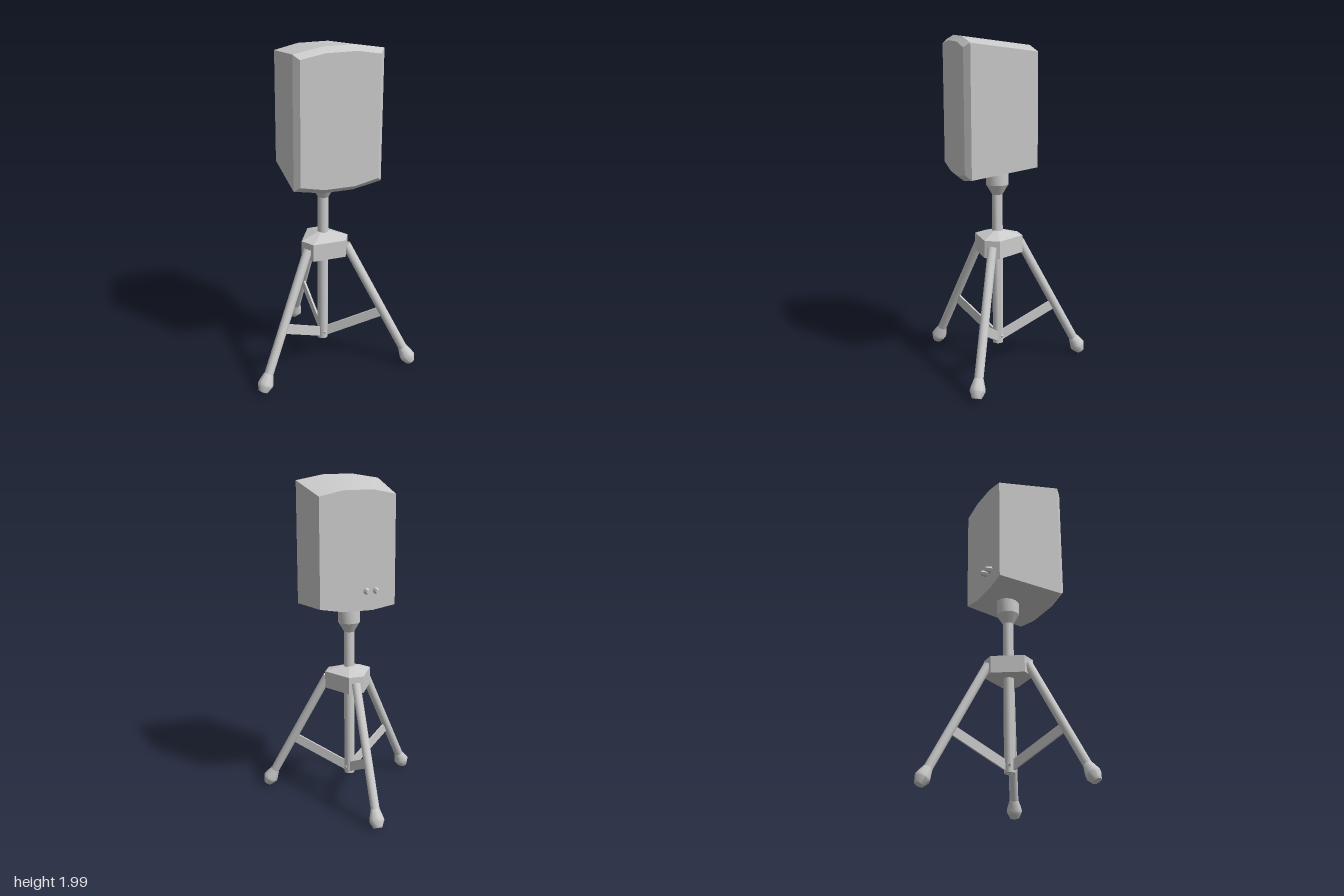
import * as THREE from 'three';
import { toCreasedNormals } from 'three/addons/utils/BufferGeometryUtils.js';

const material = new THREE.MeshStandardMaterial({ color: 0xcccccc });
const POLE_Z = 0.125;

function addMesh(parent, name, geometry) {
  const mesh = new THREE.Mesh(geometry, material);
  mesh.name = name;
  parent.add(mesh);
  return mesh;
}

// Closed solid through rings of equal point count, counter-clockwise seen from the last ring
function loft(rings, crease) {
  const n = rings[0].length, index = [];
  for (let r = 0; r < rings.length - 1; r++) {
    for (let i = 0; i < n; i++) {
      const j = (i + 1) % n;
      const a = r * n + i, b = r * n + j, c = b + n, d = a + n;
      index.push(a, b, c, a, c, d);
    }
  }
  const last = (rings.length - 1) * n;
  for (let i = 1; i < n - 1; i++) {
    index.push(0, i + 1, i, last, last + i, last + i + 1);
  }
  const geometry = new THREE.BufferGeometry();
  geometry.setAttribute('position', new THREE.Float32BufferAttribute(rings.flat(2), 3));
  geometry.setIndex(index);
  return toCreasedNormals(geometry, crease);
}

// Turned part around the y axis from [radius, y] pairs
function turned(profile, sides, crease = 0.9) {
  const points = profile.map(([r, y]) => new THREE.Vector2(r, y));
  return toCreasedNormals(new THREE.LatheGeometry(points, sides), crease);
}

// Cabinet cross-section: straight sides, bowed top and bottom
function cabinetRing(z, half, sideLow, sideHigh, midLow, midHigh) {
  const m = 0.09;
  return [
    [half, sideLow, z], [half, sideHigh, z], [m, midHigh, z], [-m, midHigh, z],
    [-half, sideHigh, z], [-half, sideLow, z], [-m, midLow, z], [m, midLow, z],
  ];
}

// Truncated triangular outline of the hub
function hubRing(y, scale) {
  return [-42, 42, 78, 162, 198, 282].map((deg) => {
    const a = THREE.MathUtils.degToRad(deg), r = 0.149 * scale;
    return [Math.sin(a) * r, y, Math.cos(a) * r];
  });
}

// Leg with foot and brace, built in the y-z plane and leaning out along +z
function createLeg() {
  const leg = new THREE.Group();
  const top = new THREE.Vector3(0, 0.78, 0.138);
  const foot = new THREE.Vector3(0, 0.05, 0.53);
  const length = top.distanceTo(foot);
  const lean = Math.atan2(foot.z - top.z, top.y - foot.y);

  const strut = new THREE.Group();
  strut.name = 'strut';
  strut.position.copy(foot);
  strut.rotation.x = -lean;
  leg.add(strut);
  addMesh(strut, 'legTube', turned([[0, 0], [0.027, 0], [0.027, length], [0, length]], 12));
  addMesh(strut, 'rubberFoot', turned(
    [[0, -0.036], [0.028, -0.036], [0.047, 0.005], [0.044, 0.022], [0.028, 0.075], [0, 0.075]], 8));

  // Flat brace from the pole's lower end to the leg
  const start = new THREE.Vector3(0, 0.165, -0.025);
  const end = new THREE.Vector3(0, 0.36, 0.375);
  const brace = addMesh(leg, 'brace', new THREE.BoxGeometry(0.012, 0.058, start.distanceTo(end)));
  brace.position.addVectors(start, end).multiplyScalar(0.5);
  brace.rotation.x = -Math.atan2(end.y - start.y, end.z - start.z);
  return leg;
}

export function createModel() {
  const model = new THREE.Group();
  model.name = 'speakerOnTripod';

  // Cabinet tapering to the back, with a bevelled front edge
  addMesh(model, 'speakerCabinet', loft([
    cabinetRing(-0.045, 0.23, 1.265, 1.915, 1.24, 1.945),
    cabinetRing(0.352, 0.26, 1.217, 1.97, 1.185, 2.0),
    cabinetRing(0.384, 0.23, 1.245, 1.945, 1.215, 1.97),
  ], 0.4));

  // Control knobs on the back
  for (const x of [-0.053, -0.111]) {
    const knob = addMesh(model, 'knob',
      toCreasedNormals(new THREE.CylinderGeometry(0.013, 0.022, 0.045, 6), 0.4));
    knob.rotation.set(-Math.PI / 2, Math.PI / 6, 0);
    knob.position.set(x, 1.357, -0.063);
  }

  // Tripod
  const tripod = new THREE.Group();
  tripod.name = 'tripod';
  tripod.position.z = POLE_Z;
  model.add(tripod);
  addMesh(tripod, 'pole', turned([[0, 0.145], [0.032, 0.145], [0.032, 1.12], [0, 1.12]], 14));
  addMesh(tripod, 'collar', turned(
    [[0, 1.075], [0.032, 1.075], [0.068, 1.135], [0.068, 1.24], [0, 1.24]], 14, 0.5));
  addMesh(tripod, 'hub', loft([hubRing(0.717, 1), hubRing(0.822, 1), hubRing(0.858, 0.2)], 0.2));

  for (const deg of [60, 180, 300]) {
    const leg = createLeg();
    leg.name = 'leg';
    leg.rotation.y = THREE.MathUtils.degToRad(deg);
    tripod.add(leg);
  }
  return model;
}
